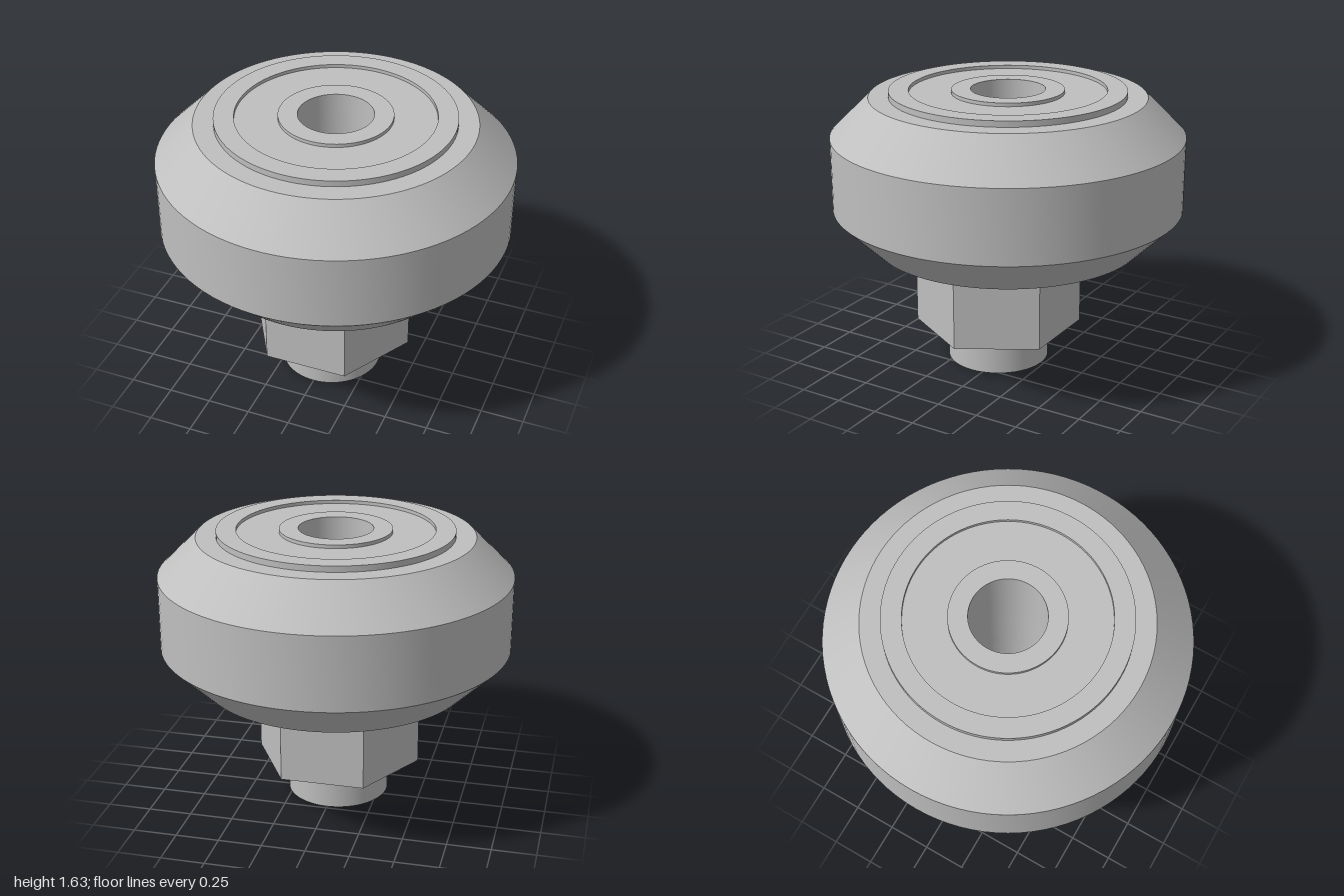
import * as THREE from 'three';
import { toCreasedNormals } from 'three/addons/utils/BufferGeometryUtils.js';

const BORE = 0.21;   // shared axle hole radius
const OFFSET = 0.066; // eccentricity of the spacer towards the front

export function createModel() {
  const model = new THREE.Group();
  const grey = new THREE.MeshStandardMaterial({ color: 0xbfbfbf });
  grey.name = 'plain grey';

  const add = (name, geometry, y = 0) => {
    const mesh = new THREE.Mesh(toCreasedNormals(geometry, 0.35), grey);
    mesh.name = name;
    mesh.position.y = y;
    model.add(mesh);
  };

  // Closed ring turned around y; profile runs counterclockwise as [radius, y]
  const ring = (profile) => new THREE.LatheGeometry(
    [...profile, profile[0]].map(([r, y]) => new THREE.Vector2(r, y)), 96);

  // Tyre with chamfered rims and an inner lip between the two bearings
  add('wheel', ring([
    [0.667, 0.75], [0.78, 0.75], [1, 0.967], [1, 1.383], [0.78, 1.6], [0.667, 1.6],
    [0.667, 1.217], [0.585, 1.217], [0.585, 1.133], [0.667, 1.133],
  ]));

  // Bearings with shields sunk between the inner and outer races
  const h = 0.417, d = 0.02;
  const bearing = [
    [BORE, 0], [0.317, 0], [0.317, d], [0.555, d], [0.555, 0], [0.667, 0],
    [0.667, h], [0.555, h], [0.555, h - d], [0.317, h - d], [0.317, h], [BORE, h],
  ];
  add('lowerBearing', ring(bearing), 0.716);
  add('upperBearing', ring(bearing), 1.217);

  // Washer keeping the inner races apart
  add('shim', ring([[BORE, 1.133], [0.417, 1.133], [0.417, 1.217], [BORE, 1.217]]));

  // Eccentric spacer: offset outline around the central bore
  const eccentric = (outline, height) => {
    outline.holes.push(new THREE.Path().absarc(0, 0, BORE, 0, Math.PI * 2, true));
    return new THREE.ExtrudeGeometry(outline, { depth: height, bevelEnabled: false, curveSegments: 64 })
      .rotateX(-Math.PI / 2);
  };
  const hex = new THREE.Shape(Array.from({ length: 6 }, (_, i) => new THREE.Vector2(
    0.483 * Math.cos(i * Math.PI / 3), 0.483 * Math.sin(i * Math.PI / 3) - OFFSET)));
  add('hexSpacer', eccentric(hex, 0.504), 0.212);

  const round = new THREE.Shape().absarc(0, -OFFSET, 0.296, 0, Math.PI * 2, false);
  add('spacerBoss', eccentric(round, 0.212));

  return model;
}
